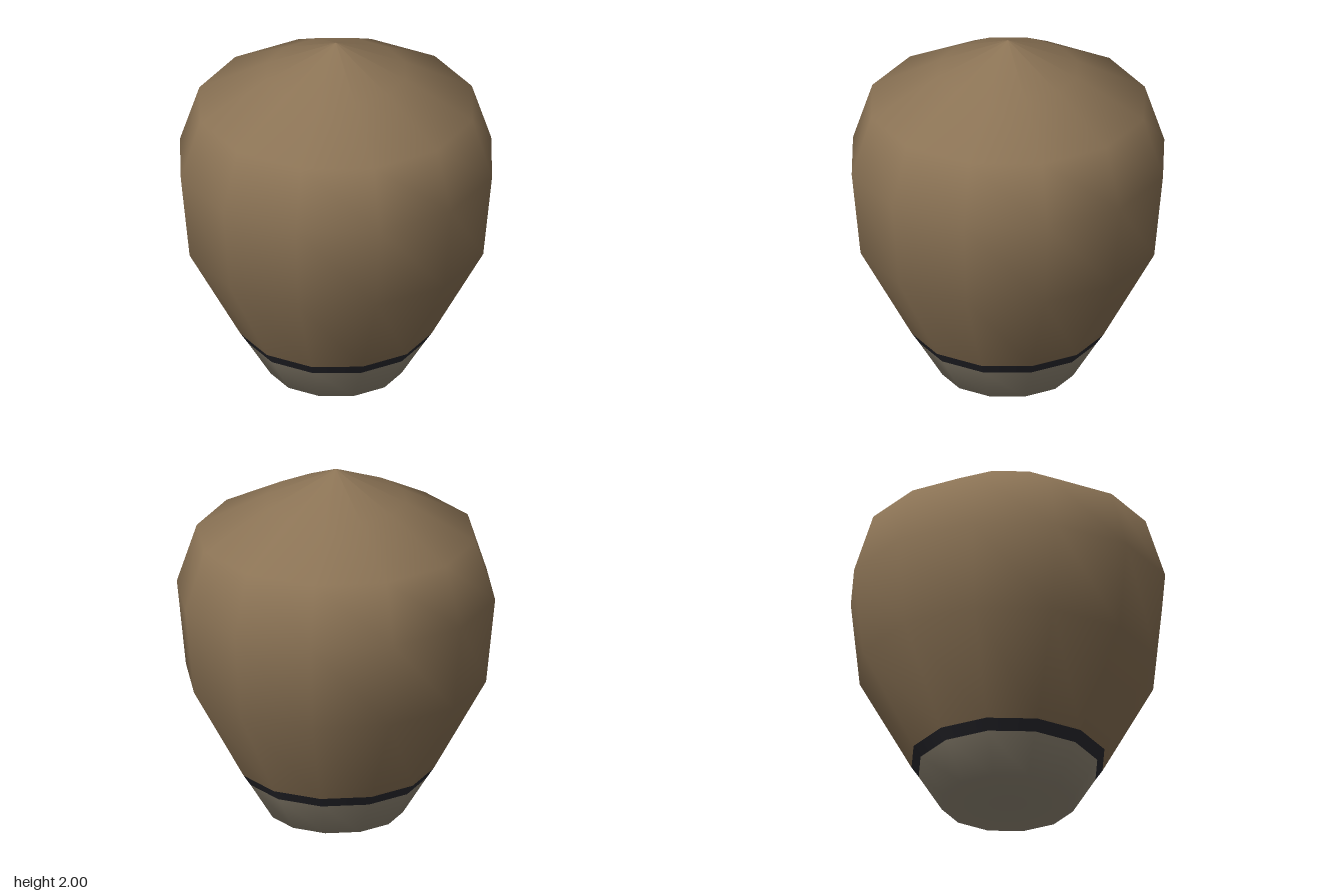
import * as THREE from 'three';

const SIDES = 12;

// Smooth twelve-sided ring surface from a bottom-to-top profile of [radius, height]
function turned(name, profile, material) {
  const points = profile.map(([r, y]) => new THREE.Vector2(r, y));
  const mesh = new THREE.Mesh(new THREE.LatheGeometry(points, SIDES), material);
  mesh.name = name;
  return mesh;
}

export function createModel() {
  const brown = new THREE.MeshStandardMaterial({ color: 0x8b7355 });
  brown.name = 'brown';
  const black = new THREE.MeshStandardMaterial({ color: 0x2a2a30 });
  black.name = 'black';
  const stone = new THREE.MeshStandardMaterial({ color: 0x978d7a });
  stone.name = 'stone';

  const model = new THREE.Group();
  model.name = 'bulb';

  // Tapered foot with a closed underside
  model.add(turned('foot', [[0, 0], [0.37, 0], [0.5, 0.21]], stone));
  // Dark band between foot and body
  model.add(turned('band', [[0.5, 0.21], [0.54, 0.27]], black));
  // Swelling body rising to a blunt point
  model.add(turned('body', [
    [0.54, 0.27], [0.83, 0.8], [0.88, 1.285], [0.77, 1.62], [0.39, 1.825], [0, 2],
  ], brown));

  return model;
}
